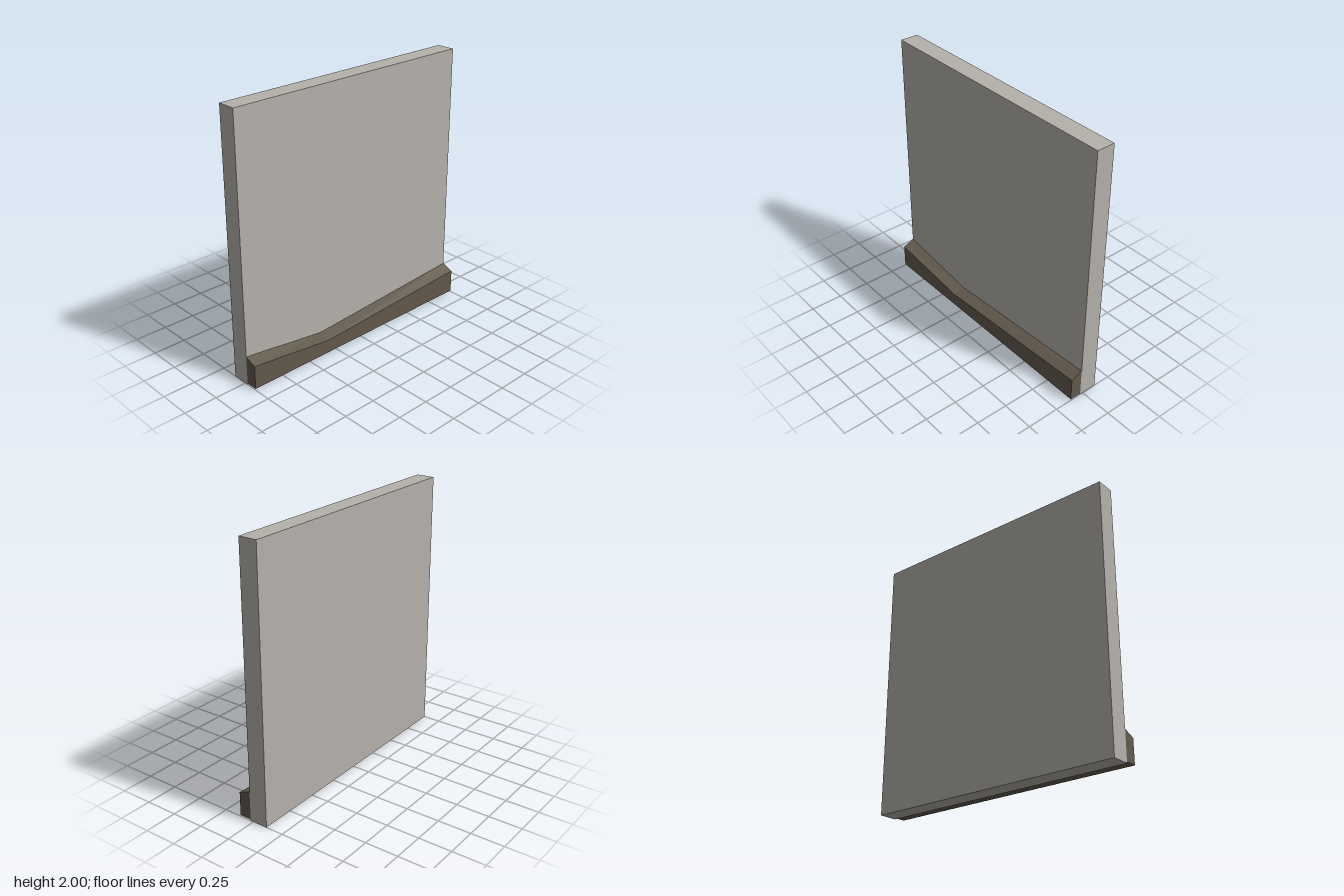
import * as THREE from 'three';

export function createModel() {
  const group = new THREE.Group();
  const plaster = new THREE.MeshStandardMaterial({ name: 'wallGrey', color: 0xb5b0aa });
  const earth = new THREE.MeshStandardMaterial({ name: 'earthBrown', color: 0x62594c });

  // Wall slab
  const wall = new THREE.Mesh(new THREE.BoxGeometry(2, 2, 0.14), plaster);
  wall.name = 'wall';
  wall.position.set(0, 1, -0.045);
  group.add(wall);

  // Base bank: a box split once along its length, its top sloping forward and dipping at the split
  const box = new THREE.BoxGeometry(2, 1, 1, 2, 1, 1);
  const pos = box.attributes.position;
  for (let i = 0; i < pos.count; i++) {
    const middle = Math.abs(pos.getX(i)) < 0.5;
    const front = pos.getZ(i) > 0;
    const top = middle ? (front ? 0.11 : 0.135) : (front ? 0.19 : 0.225);
    pos.setXYZ(i, middle ? -0.33 : pos.getX(i), pos.getY(i) > 0 ? top : 0.01, front ? 0.115 : 0.025);
  }
  const bankGeometry = box.toNonIndexed();
  bankGeometry.computeVertexNormals();
  const bank = new THREE.Mesh(bankGeometry, earth);
  bank.name = 'baseBank';
  group.add(bank);

  return group;
}
